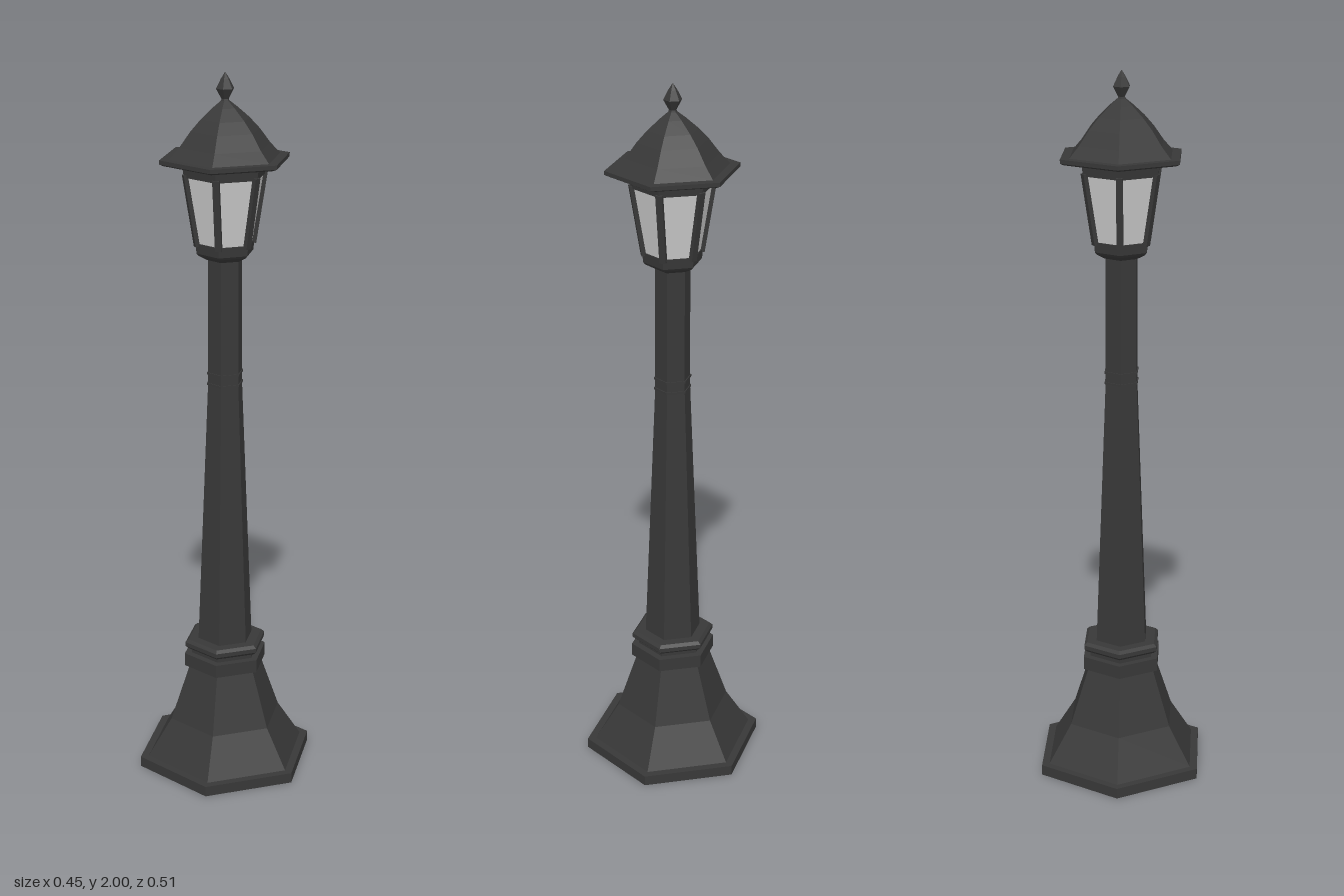
import * as THREE from 'three';

const iron = new THREE.MeshStandardMaterial({ color: 0x383838, flatShading: true });
const glass = new THREE.MeshStandardMaterial({ color: 0xcccccc, flatShading: true, side: THREE.DoubleSide });

// Six-sided turned part with a corner facing +z; profile is [corner radius, height] from bottom to top
function hexPart(name, profile, material = iron) {
  const points = profile.map(([r, y]) => new THREE.Vector2(r, y));
  const geometry = new THREE.LatheGeometry(points, 6).toNonIndexed();
  geometry.computeVertexNormals();
  const mesh = new THREE.Mesh(geometry, material);
  mesh.name = name;
  return mesh;
}

// Straight slab with closed ends, optionally tapered
const slab = (name, y0, y1, r0, r1 = r0) => hexPart(name, [[0, y0], [r0, y0], [r1, y1], [0, y1]]);

export function createModel() {
  const lamp = new THREE.Group();
  lamp.name = 'streetLamp';

  // Base
  lamp.add(slab('basePlate', 0, 0.03, 0.257));
  lamp.add(hexPart('flaredFoot', [[0.233, 0.03], [0.163, 0.14], [0.106, 0.305]]));
  lamp.add(slab('lowerCollar', 0.305, 0.343, 0.121));
  lamp.add(slab('collarNeck', 0.343, 0.36, 0.1));
  lamp.add(hexPart('upperCollar', [[0, 0.358], [0.11, 0.358], [0.119, 0.366], [0.119, 0.378], [0.11, 0.386], [0, 0.386]]));

  // Post with two thin joint rings
  lamp.add(hexPart('post', [[0.08, 0.384], [0.049, 1.15], [0.048, 1.51]]));
  for (const y of [1.148, 1.178]) lamp.add(slab('jointRing', y, y + 0.006, 0.052));

  // Lantern
  const lantern = new THREE.Group();
  lantern.name = 'lantern';
  lantern.add(hexPart('lanternCup', [[0, 1.5], [0.05, 1.5], [0.074, 1.513], [0.08, 1.52], [0.083, 1.548], [0, 1.548]]));
  lantern.add(hexPart('lanternGlass', [[0.079, 1.546], [0.11, 1.732]], glass));
  lantern.add(slab('lanternTopBand', 1.728, 1.764, 0.114, 0.119));

  // Sloping bars on the six corners
  const low = new THREE.Vector3(0, 1.54, 0.079);
  const high = new THREE.Vector3(0, 1.735, 0.111);
  for (let i = 0; i < 6; i++) {
    const corner = new THREE.Group();
    corner.name = 'cornerBar';
    const bar = new THREE.Mesh(new THREE.BoxGeometry(0.018, low.distanceTo(high), 0.012), iron);
    bar.position.copy(low).add(high).multiplyScalar(0.5);
    bar.rotation.x = Math.atan2(high.z - low.z, high.y - low.y);
    corner.add(bar);
    corner.rotation.y = i * Math.PI / 3;
    lantern.add(corner);
  }
  lamp.add(lantern);

  // Roof and finial
  lamp.add(hexPart('eave', [[0, 1.762], [0.17, 1.762], [0.181, 1.767], [0.181, 1.778], [0, 1.778]]));
  lamp.add(hexPart('roof', [[0.154, 1.778], [0.126, 1.808], [0.096, 1.848], [0.068, 1.878], [0.034, 1.908], [0.012, 1.925], [0, 1.925]]));
  lamp.add(hexPart('finial', [[0.014, 1.918], [0.01, 1.93], [0.025, 1.957], [0.012, 1.982], [0, 2]]));

  return lamp;
}
